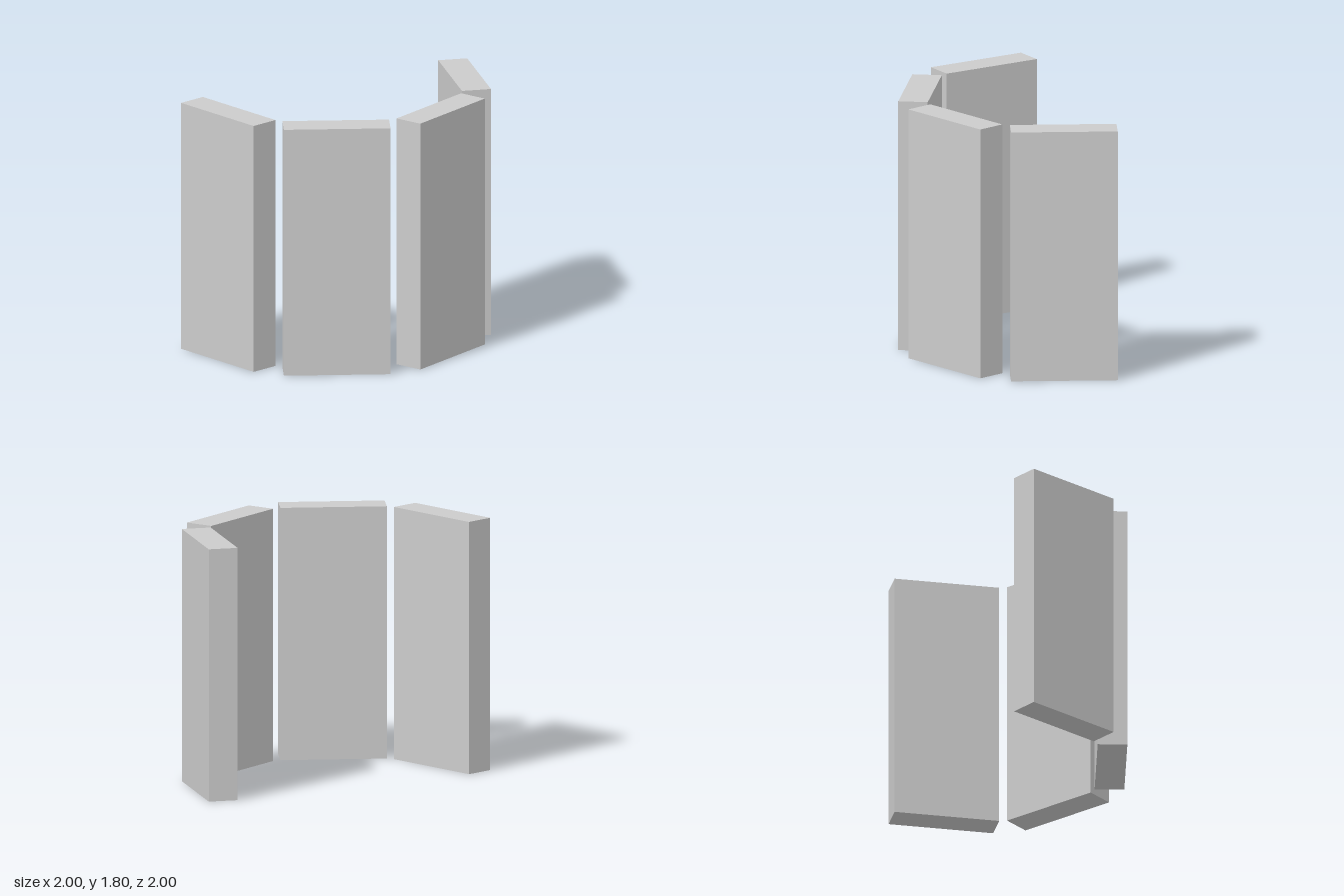
import * as THREE from 'three';

// Curved screen of four upright slabs, each turned 50 degrees from the last
export function createModel() {
  const group = new THREE.Group();
  group.name = 'curvedScreen';

  const material = new THREE.MeshStandardMaterial({ color: 0xcccccc, flatShading: true });
  const width = 0.747, height = 1.8, depth = 0.208;
  const panelGeometry = new THREE.BoxGeometry(width, height, depth);

  // Panel centres [x, z], running from the front right round to the back left
  const centres = [[-0.625, 0.697], [0.191, 0.774], [0.774, 0.191], [0.697, -0.625]];

  centres.forEach(([x, z], i) => {
    const panel = new THREE.Mesh(panelGeometry, material);
    panel.name = `panel${i + 1}`;
    panel.position.set(x, height / 2, z);
    panel.rotation.y = THREE.MathUtils.degToRad(-30 + 50 * i);
    group.add(panel);
  });

  return group;
}
